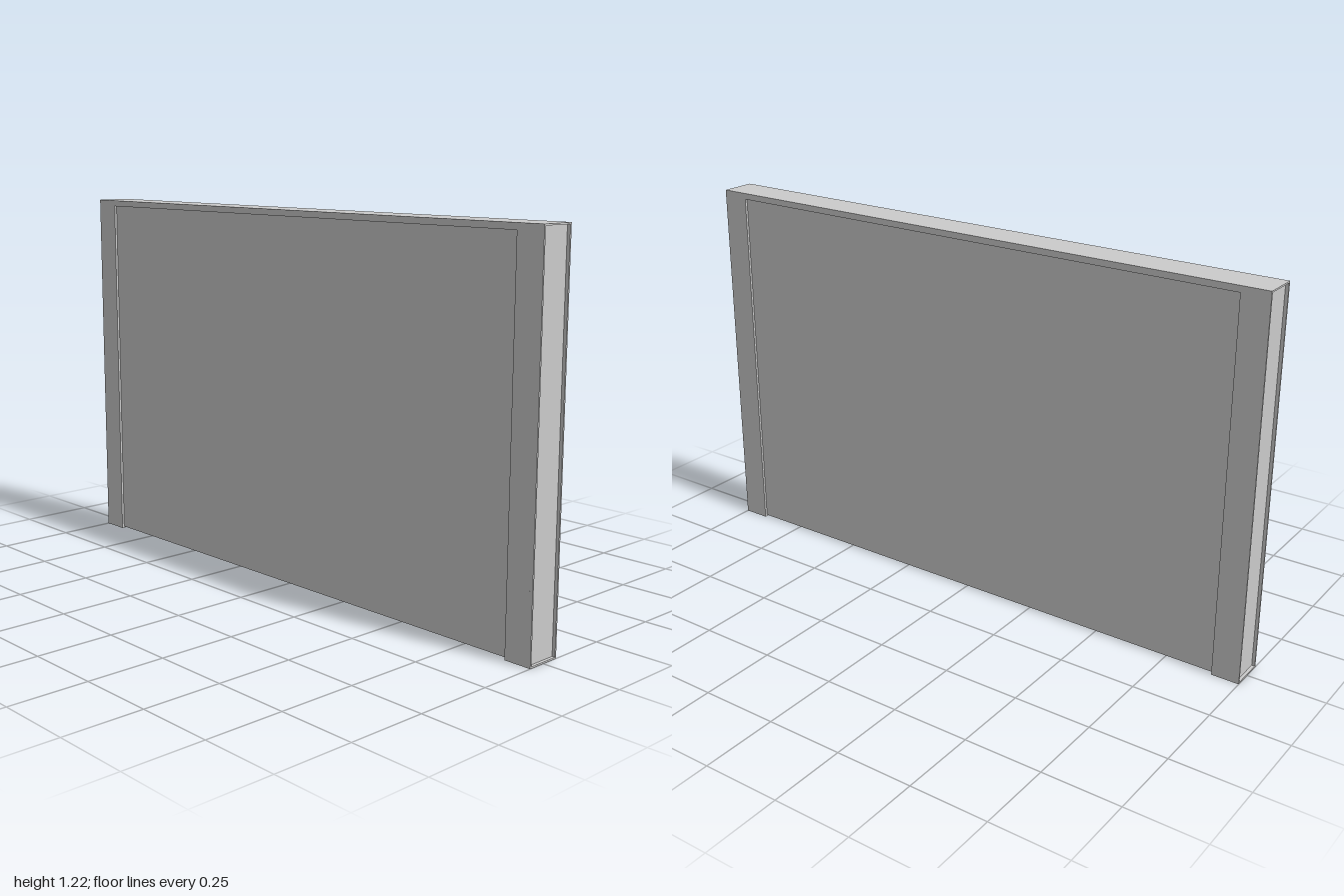
import * as THREE from 'three';

const H = 1.215, D = 0.116, POST = 0.09, LIP = 0.005, RECESS = 0.01;

export function createModel() {
  const model = new THREE.Group();
  const material = new THREE.MeshStandardMaterial({ color: 0xcccccc, flatShading: true });

  function add(name, geometry, x, y, z = 0, parent = model) {
    const mesh = new THREE.Mesh(geometry, material);
    mesh.name = name;
    mesh.position.set(x, y, z);
    parent.add(mesh);
    return mesh;
  }

  // Main board, set back slightly from the frame on both faces
  const boardTop = H - 0.02;
  add('board', new THREE.BoxGeometry(2 - 2 * POST, boardTop - 0.005, D - 2 * 0.008), 0, (boardTop + 0.005) / 2);

  // Rail along the top edge, flush with the posts
  add('topRail', new THREE.BoxGeometry(2 - 2 * POST, 0.02, D), 0, H - 0.01);

  // Thin rim around the shallow recess in each outer end
  const rim = new THREE.Shape();
  rim.moveTo(-D / 2, 0).lineTo(D / 2, 0).lineTo(D / 2, H).lineTo(-D / 2, H).closePath();
  const hole = new THREE.Path();
  const w = D / 2 - LIP;
  hole.moveTo(-w, LIP).lineTo(-w, H - LIP).lineTo(w, H - LIP).lineTo(w, LIP).closePath();
  rim.holes.push(hole);
  const rimGeometry = new THREE.ExtrudeGeometry(rim, { depth: RECESS, bevelEnabled: false });
  rimGeometry.rotateY(Math.PI / 2);

  // End posts
  for (const side of [-1, 1]) {
    const post = new THREE.Group();
    post.name = side > 0 ? 'leftPost' : 'rightPost';
    const core = POST - RECESS;
    add('postCore', new THREE.BoxGeometry(core, H, D), side * (1 - POST + core / 2), H / 2, 0, post);
    add('postRim', rimGeometry, side > 0 ? 1 - RECESS : -1, 0, 0, post);
    model.add(post);
  }
  return model;
}
